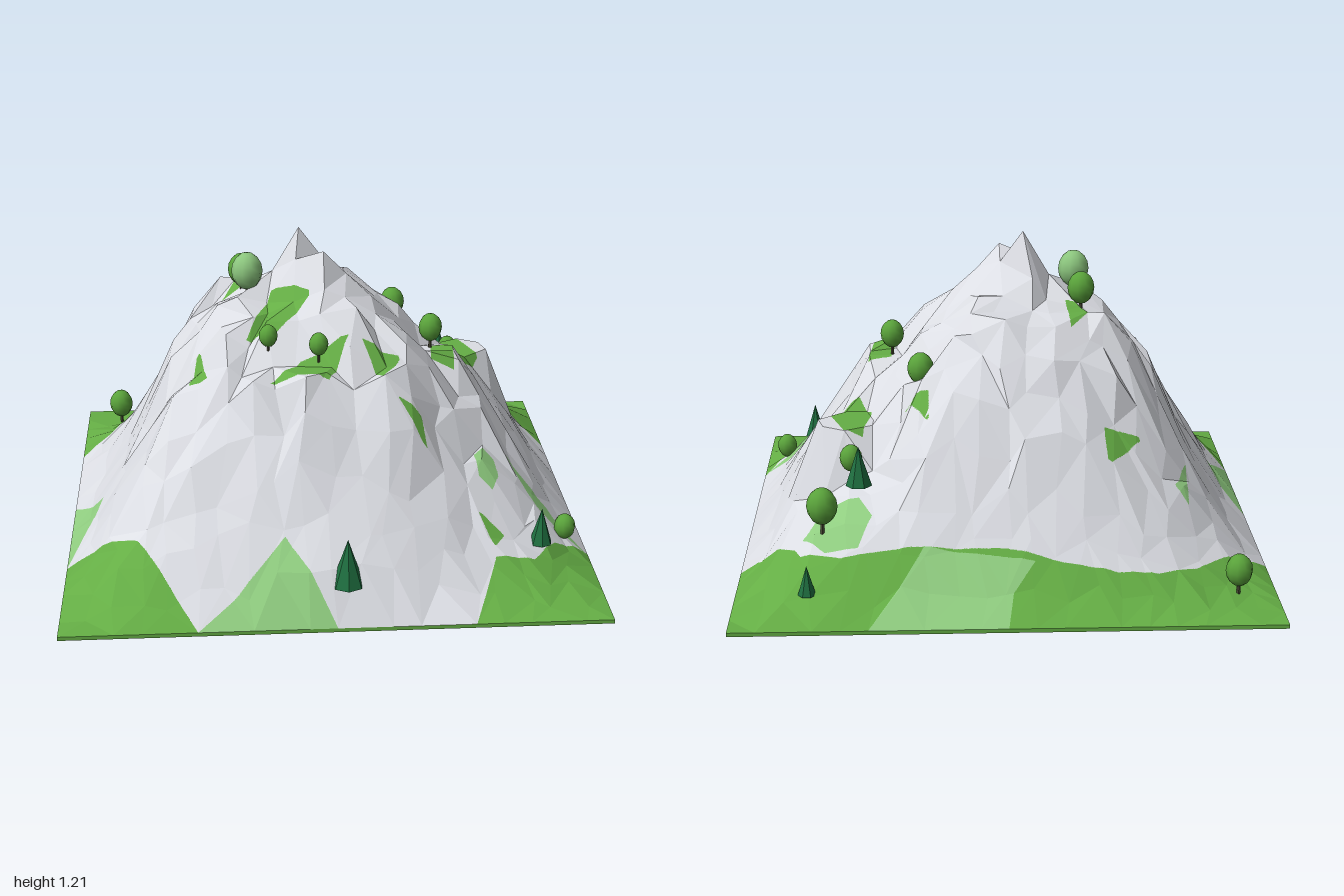
import * as THREE from 'three';

const material = (name, color, flatShading = true) => {
  const m = new THREE.MeshStandardMaterial({ color, flatShading });
  m.name = name;
  return m;
};

// Heights every 0.25 units, rows from back to front, columns from -x to +x
const HEIGHTS = [
  [0.10, 0.22, 0.29, 0.31, 0.29, 0.28, 0.20],
  [0.25, 0.53, 0.67, 0.72, 0.65, 0.44, 0.28],
  [0.32, 0.76, 0.88, 0.95, 0.83, 0.60, 0.35],
  [0.33, 0.83, 0.96, 1.06, 0.90, 0.70, 0.37],
  [0.36, 0.78, 0.92, 0.99, 0.87, 0.64, 0.33],
  [0.35, 0.63, 0.75, 0.77, 0.71, 0.46, 0.26],
  [0.20, 0.31, 0.36, 0.38, 0.35, 0.20, 0.11],
];
// Summits: x, z, height, slope
const PEAKS = [[-0.09, 0.03, 1.21, 1.7], [0, 0.12, 1.14, 1.2]];
// Level shelves in the rock: x, z, radius, height
const LEDGES = [
  [0.58, -0.3, 0.13, 0.56], [0.47, 0.1, 0.11, 0.71], [-0.1, 0.42, 0.12, 0.79], [0.2, 0.41, 0.1, 0.78],
  [-0.19, 0.22, 0.11, 0.92], [-0.49, 0.29, 0.09, 0.73], [-0.31, -0.15, 0.1, 0.94],
];
const BASE = 0.015;

// Grass areas as outlines seen from above, flat lists of x, z
const PALE = [
  [-1, 0, -0.87, 0.22, -1, 0.5],
  [-0.5, 1, -0.18, 0.81, 0, 1],
  [0, -1, -0.02, -0.9, -0.1, -0.83, 0.3, -0.79, 0.5, -1],
  [0.49, -0.68, 0.54, -0.78, 0.66, -0.77, 0.75, -0.69, 0.66, -0.6, 0.54, -0.6],
  [-0.7, -0.35, -0.69, -0.55, -0.64, -0.52],
  [0.56, 0.54, 0.55, 0.46, 0.59, 0.41, 0.63, 0.43, 0.64, 0.5, 0.61, 0.56],
  [1, 0.52, 0.85, 0.4, 0.68, 0.36, 0.8, 0.48],
];
const GREEN = [
  [-1, 0.5, -0.72, 0.72, -0.5, 1, -1, 1],
  [0.5, 1, 0.6, 0.76, 0.75, 0.73, 0.85, 0.6, 1, 0.5, 1, 1],
  [-1, -0.5, -0.8, -0.66, -0.7, -0.75, -0.55, -0.82, -0.4, -0.84, -0.2, -0.83, 0, -0.8, 0.35, -0.79,
    0.6, -0.8, 0.75, -0.75, 0.85, -0.6, 1, -0.5, 1, -1, -1, -1],
  [0.53, -0.42, 0.6, -0.42, 0.66, -0.25, 0.58, -0.12, 0.5, -0.25],
  [-0.52, -0.46, -0.38, -0.61, -0.37, -0.5],
  [-0.39, -0.1, -0.26, -0.26, -0.25, -0.08],
  [0.41, 0.2, 0.43, 0.02, 0.52, 0, 0.5, 0.21],
  [-0.3, 0.3, -0.2, 0.1, -0.05, 0.2, -0.2, 0.32],
  [-0.52, 0.35, -0.48, 0.2, -0.45, 0.37],
  [-0.22, 0.49, -0.1, 0.4, 0.08, 0.36, 0, 0.49],
  [0.13, 0.36, 0.28, 0.36, 0.2, 0.49],
  [0.25, 0.52, 0.34, 0.52, 0.36, 0.6],
  [0.28, -0.51, 0.37, -0.4, 0.28, -0.42],
  [0.54, 0.64, 0.64, 0.68, 0.6, 0.73],
];

const hash = (i, j, k) => {
  const s = Math.sin(i * 127.1 + j * 311.7 + k * 74.7) * 43758.5453;
  return (s - Math.floor(s)) * 2 - 1;
};
const sample = (i, j) => HEIGHTS[j - 1]?.[i - 1] ?? BASE;
const cubic = (p, t) => p[1] + 0.5 * t * (p[2] - p[0] + t * (2 * p[0] - 5 * p[1] + 4 * p[2] - p[3]
  + t * (3 * (p[1] - p[2]) + p[3] - p[0])));
const K = [-1, 0, 1, 2];

// Smooth surface through the height samples
function heightAt(x, z) {
  const u = (x + 1) * 4, v = (z + 1) * 4;
  const i = Math.min(7, Math.floor(u)), j = Math.min(7, Math.floor(v));
  return cubic(K.map(b => cubic(K.map(a => sample(i + a, j + b)), u - i)), v - j);
}

function inside(poly, x, z) {
  let hit = false;
  for (let a = 0, b = poly.length - 2; a < poly.length; b = a, a += 2) {
    const za = poly[a + 1], zb = poly[b + 1];
    if ((za > z) !== (zb > z) && x < poly[a] + (poly[b] - poly[a]) * (z - za) / (zb - za)) hit = !hit;
  }
  return hit;
}
// 0 rock, 1 grass, 2 pale grass
const coverAt = ({ x, z }) => {
  const has = list => list.some(p => inside(p, x, z));
  return has(PALE) ? 2 : has(GREEN) ? 1 : 0;
};

// Craggy low-poly terrain: large facets, divided further only along colour edges
function terrain(materials) {
  const N = 20, MAX_DEPTH = 6, buckets = [[], [], []];
  const vertex = (i, j) => {
    const x = i / 10 - 1, z = j / 10 - 1;
    if (i === 0 || j === 0 || i === N || j === N) return new THREE.Vector3(x, BASE, z);
    for (const [px, pz, py] of PEAKS) {
      if (Math.hypot(x - px, z - pz) < 0.04) return new THREE.Vector3(px, py, pz);
    }
    const vx = x + hash(i, j, 1) * 0.03, vz = z + hash(i, j, 2) * 0.03;
    let y = heightAt(vx, vz);
    y += hash(i, j, 3) * 0.04 * Math.min(1, y * y * 4);
    for (const [lx, lz, r, ly] of LEDGES) if (Math.hypot(vx - lx, vz - lz) < r) y = ly;
    for (const [px, pz, py, slope] of PEAKS) y = Math.max(y, py - slope * Math.hypot(vx - px, vz - pz));
    return new THREE.Vector3(vx, Math.max(BASE + 0.01, y), vz);
  };
  const facet = (a, b, c, depth = 0) => {
    const center = a.clone().add(b).add(c).divideScalar(3);
    const cover = coverAt(center);
    const uniform = depth > 1 && [a, b, c].every(p => coverAt(p) === cover);
    if (uniform || depth === MAX_DEPTH) {
      for (const p of [a, b, c]) buckets[cover].push(p.x, p.y, p.z);
      return;
    }
    const ab = a.clone().lerp(b, 0.5), bc = b.clone().lerp(c, 0.5), ca = c.clone().lerp(a, 0.5);
    for (const t of [[a, ab, ca], [ab, b, bc], [ca, bc, c], [ab, bc, ca]]) facet(...t, depth + 1);
  };
  for (let i = 0; i < N; i++) for (let j = 0; j < N; j++) {
    const a = vertex(i, j), b = vertex(i + 1, j), c = vertex(i, j + 1), d = vertex(i + 1, j + 1);
    if (hash(i, j, 4) > 0) { facet(a, c, b); facet(b, c, d); }
    else { facet(a, c, d); facet(a, d, b); }
  }
  const group = new THREE.Group();
  group.name = 'mountain';
  buckets.forEach((points, n) => {
    const geometry = new THREE.BufferGeometry();
    geometry.setAttribute('position', new THREE.Float32BufferAttribute(points, 3));
    geometry.computeVertexNormals();
    const mesh = new THREE.Mesh(geometry, materials[n]);
    mesh.name = ['rockFaces', 'grassSlopes', 'paleGrassSlopes'][n];
    group.add(mesh);
  });
  return group;
}

export function createModel() {
  const rock = material('rock grey', 0xdcdee4);
  const grass = material('grass green', 0x65ae45);
  const pale = material('pale grass green', 0x90cd80);
  const leaf = material('leaf green', 0x5aa33b, false);
  const paleLeaf = material('pale leaf green', 0x8cc67e, false);
  const pine = material('pine green', 0x1f6f40);
  const bark = material('bark', 0x4a4a35);
  const model = new THREE.Group();
  model.name = 'mountainScene';
  const add = (parent, name, geometry, mat, x, y, z) => {
    const mesh = new THREE.Mesh(geometry, mat);
    mesh.name = name;
    mesh.position.set(x, y, z);
    parent.add(mesh);
    return mesh;
  };

  add(model, 'basePlate', new THREE.BoxGeometry(2, BASE, 2), grass, 0, BASE / 2, 0);
  model.add(terrain([rock, grass, pale]));

  // Round trees: crown centre and radius
  const roundTrees = [
    [-0.845, 0.14, -0.8, 0.05], [0.67, 0.37, -0.7, 0.057], [0.57, 0.485, -0.515, 0.042],
    [0.31, 0.77, -0.325, 0.05], [0.425, 0.795, 0.045, 0.046], [-0.31, 1.01, -0.075, 0.052],
    [-0.29, 1.05, 0.065, 0.06, paleLeaf], [-0.22, 0.895, 0.36, 0.035], [-0.035, 0.875, 0.405, 0.036],
    [0.9, 0.15, 0.52, 0.041],
  ];
  for (const [x, y, z, r, mat = leaf] of roundTrees) {
    const tree = new THREE.Group();
    tree.name = 'roundTree';
    tree.position.set(x, y, z);
    add(tree, 'crown', new THREE.SphereGeometry(r, 10, 8), mat, 0, 0, 0).scale.y = 1.22;
    add(tree, 'trunk', new THREE.CylinderGeometry(r * 0.12, r * 0.16, r * 1.7, 6), bark, 0, -r * 1.2, 0);
    model.add(tree);
  }

  // Pines: base centre, radius and height
  const pines = [
    [0.04, 0.14, 0.905, 0.06, 0.18], [0.785, 0.15, 0.645, 0.043, 0.14],
    [0.54, 0.4, -0.57, 0.05, 0.15], [0.72, 0.1, -0.87, 0.034, 0.11],
  ];
  for (const [x, y, z, r, h] of pines) {
    const tree = new THREE.Group();
    tree.name = 'pineTree';
    tree.position.set(x, y, z);
    add(tree, 'needles', new THREE.ConeGeometry(r, h, 7), pine, 0, h / 2, 0);
    model.add(tree);
  }
  return model;
}
